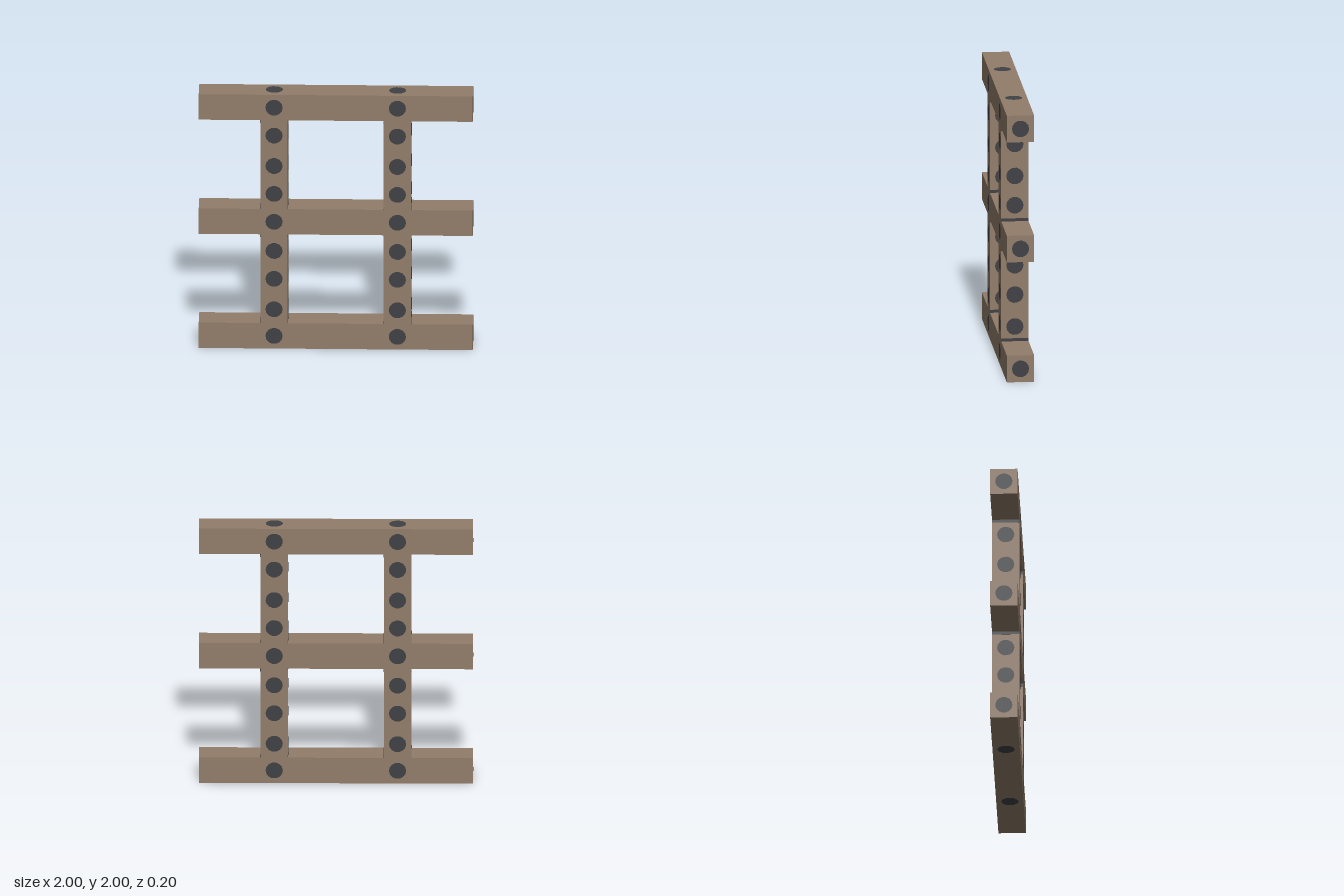
import * as THREE from 'three';

const wood = new THREE.MeshStandardMaterial({ color: 0x927d69 });
wood.name = 'wood';
const iron = new THREE.MeshStandardMaterial({ color: 0x404145 });
iron.name = 'darkIron';

const railHeights = [0.1, 1, 1.9];
const postX = [-0.45, 0.45];
const postStudHeights = [0.31, 0.55, 0.77, 1.22, 1.44, 1.68];
const half = 0.1; // half the beam thickness
const lift = 0.002; // how far painted details stand off the wood

export function createModel() {
  const group = new THREE.Group();
  group.name = 'fence';

  const add = (name, geometry, material, x, y, z) => {
    const mesh = new THREE.Mesh(geometry, material);
    mesh.name = name;
    mesh.position.set(x, y, z);
    group.add(mesh);
    return mesh;
  };

  // Round stud face pointing along the given axis direction
  const studGeometry = new THREE.CircleGeometry(0.063, 14);
  const forward = new THREE.Vector3(0, 0, 1);
  const stud = (x, y, z, nx, ny, nz) => {
    const normal = new THREE.Vector3(nx, ny, nz);
    const mesh = add('stud', studGeometry, iron, x, y, z);
    mesh.position.addScaledVector(normal, lift);
    if (nz < 0) mesh.rotation.y = Math.PI;
    else mesh.quaternion.setFromUnitVectors(forward, normal);
  };

  // Three horizontal rails with a stud on each end
  const railGeometry = new THREE.BoxGeometry(2, 0.2, 0.2);
  for (const y of railHeights) {
    add('rail', railGeometry, wood, 0, y, 0);
    for (const s of [-1, 1]) stud(s, y, 0, s, 0, 0);
  }

  // Post sections between the rails, with dark seams where they meet
  const postGeometry = new THREE.BoxGeometry(0.2, 0.7, 0.2);
  const seamGeometry = new THREE.BoxGeometry(0.004, 0.022, 0.2);
  for (const x of postX) {
    for (const y of [0.55, 1.45]) {
      add('post', postGeometry, wood, x, y, 0);
      for (const s of [-1, 1]) {
        for (const end of [-1, 1]) {
          add('seam', seamGeometry, iron, x + s * half, y + end * 0.339, 0);
        }
      }
    }

    // Studs up the front, back and both sides of each post
    for (const s of [-1, 1]) {
      for (const y of [...railHeights, ...postStudHeights]) stud(x, y, s * half, 0, 0, s);
      for (const y of postStudHeights) stud(x + s * half, y, 0, s, 0, 0);
    }

    // Studs on top of the top rail and under the bottom rail
    stud(x, 2, 0, 0, 1, 0);
    stud(x, 0, 0, 0, -1, 0);
  }

  return group;
}
